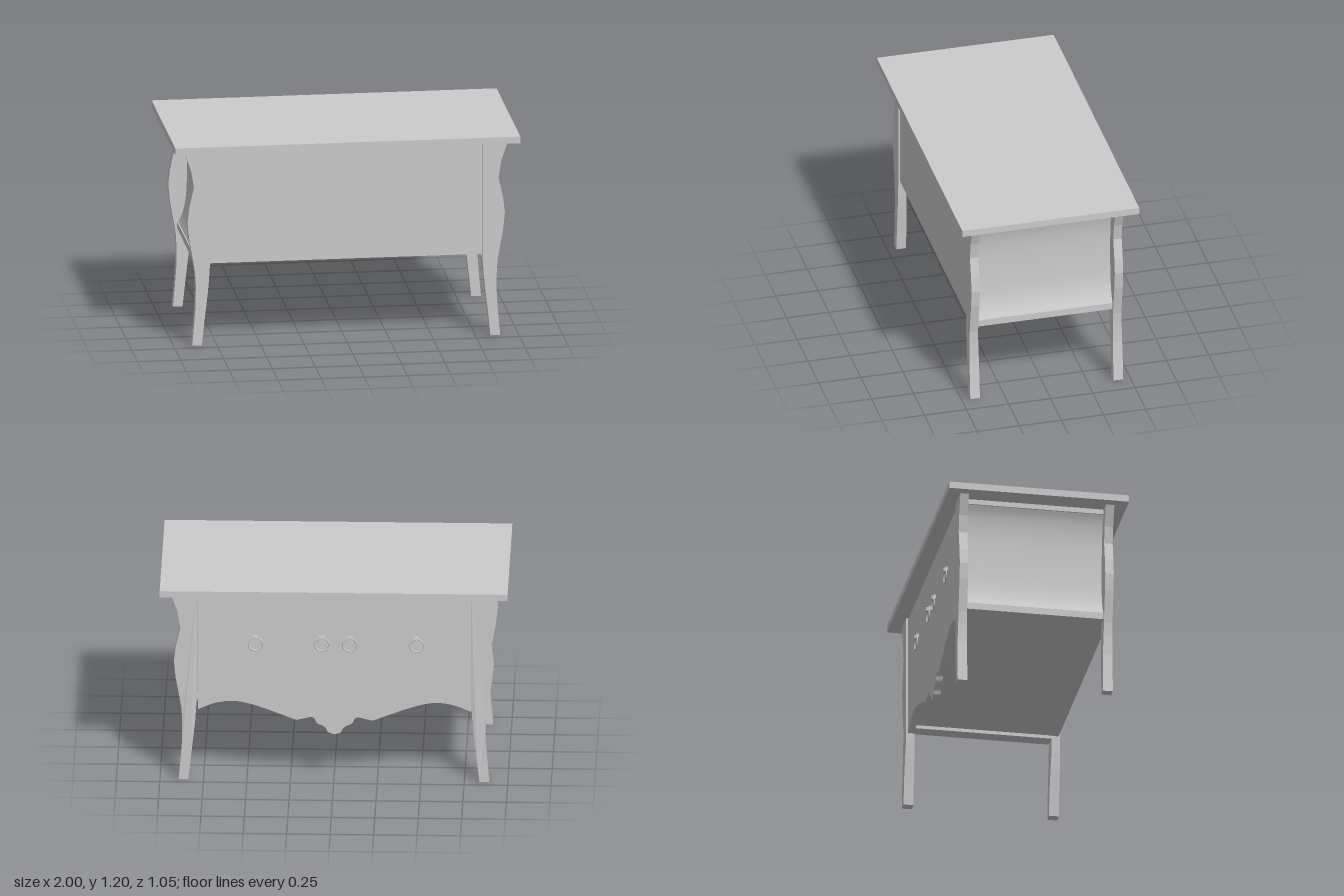
import * as THREE from 'three';
import { toCreasedNormals } from 'three/addons/utils/BufferGeometryUtils.js';

const material = new THREE.MeshStandardMaterial({ color: 0xcccccc });

function add(parent, name, geometry, x = 0, y = 0, z = 0) {
  const mesh = new THREE.Mesh(geometry, material);
  mesh.name = name;
  mesh.position.set(x, y, z);
  parent.add(mesh);
  return mesh;
}

// Box given by its minimum and maximum on each axis
function slab(parent, name, x0, x1, y0, y1, z0, z1) {
  return add(parent, name, new THREE.BoxGeometry(x1 - x0, y1 - y0, z1 - z0),
    (x0 + x1) / 2, (y0 + y1) / 2, (z0 + z1) / 2);
}

// Outline in x and y, optionally mirrored, extruded along z
function profile(points, depth, side = 1) {
  const shape = new THREE.Shape(points.map(([x, y]) => new THREE.Vector2(x * side, y)));
  return new THREE.ExtrudeGeometry(shape, { depth, bevelEnabled: false });
}

function spline(points, n) {
  return new THREE.SplineCurve(points.map(p => new THREE.Vector2(...p)))
    .getPoints(n).map(p => [p.x, p.y]);
}

const legOutline = [
  [0.79, 1.16], [0.79, 0.48], [0.796, 0.38], [0.806, 0.28], [0.822, 0.14], [0.837, 0],
  [0.893, 0], [0.882, 0.12], [0.873, 0.24], [0.872, 0.36], [0.877, 0.44], [0.892, 0.53],
  [0.91, 0.63], [0.92, 0.73], [0.91, 0.82], [0.883, 0.94], [0.899, 1.04], [0.94, 1.16],
];

// Flat shaped leg whose foot thickens slightly towards the drawer side
function legGeometry(side) {
  const g = profile(legOutline, 0.05, side);
  const p = g.attributes.position;
  for (let i = 0; i < p.count; i++) {
    if (p.getZ(i) < 0.01) {
      const t = THREE.MathUtils.clamp((0.38 - p.getY(i)) / 0.18, 0, 1);
      p.setZ(i, -0.007 * t);
    }
  }
  g.computeVertexNormals();
  return g;
}

// Ring pull hanging from a small plate and staple
function ringPull(x) {
  const pull = new THREE.Group();
  pull.name = 'ringPull';
  slab(pull, 'pullPlate', -0.018, 0.018, 0.03, 0.052, -0.006, 0.012);
  slab(pull, 'pullStaple', -0.009, 0.009, 0.028, 0.048, -0.018, -0.006);
  add(pull, 'pullRing', new THREE.TorusGeometry(0.04, 0.005, 8, 28), 0, 0, -0.006);
  pull.position.set(x, 0.846, -0.449);
  return pull;
}

export function createModel() {
  const model = new THREE.Group();
  model.name = 'chest';

  slab(model, 'tableTop', -1, 1, 1.16, 1.2, -0.525, 0.525);
  slab(model, 'plainPanel', -0.79, 0.79, 0.485, 1.16, 0.4, 0.44);
  slab(model, 'floorPanel', -0.79, 0.79, 0.485, 0.505, -0.4, 0.4);
  slab(model, 'drawerRail', -0.79, 0.79, 1.13, 1.16, -0.42, -0.4);

  // Curved lower edge of the drawer face, one half mirrored about its centre
  const wave = spline([[0.786, 0.43], [0.69, 0.47], [0.59, 0.485], [0.5, 0.472],
    [0.4, 0.44], [0.31, 0.405], [0.22, 0.37]], 24);
  const drop = spline([[0.22, 0.37], [0.18, 0.379], [0.14, 0.388], [0.117, 0.382],
    [0.1, 0.35], [0.068, 0.336], [0.048, 0.318], [0.036, 0.295], [0, 0.283]], 30);
  const half = [...wave, ...drop.slice(1)];
  const otherHalf = half.slice(0, -1).reverse().map(([x, y]) => [-x, y]);
  const face = profile([[0.786, 1.143], ...half, ...otherHalf, [-0.786, 1.143]], 0.04);
  add(model, 'drawerFace', toCreasedNormals(face, 0.5), -0.003, 0, -0.442);

  for (const x of [-0.478, -0.092, 0.068, 0.45]) model.add(ringPull(x));

  // Hollowed side panels between two rails, and the four legs
  const hollow = spline([[0.862, 0.505], [0.838, 0.56], [0.82, 0.64], [0.812, 0.76],
    [0.812, 0.9], [0.82, 1.0], [0.838, 1.08], [0.86, 1.13]], 28);
  for (const side of [-1, 1]) {
    const panel = profile([[0.785, 1.13], [0.785, 0.505], ...hollow], 0.8, side);
    add(model, 'sidePanel', toCreasedNormals(panel, 0.5), 0, 0, -0.4);
    for (const [name, y0, y1] of [['lowerSideRail', 0.465, 0.505], ['upperSideRail', 1.13, 1.16]]) {
      const rail = slab(model, name, 0.785, 0.868, y0, y1, -0.4, 0.4);
      rail.position.x *= side;
    }
    for (const z of [-0.45, 0.4]) add(model, 'leg', legGeometry(side), 0, 0, z);
  }
  return model;
}
